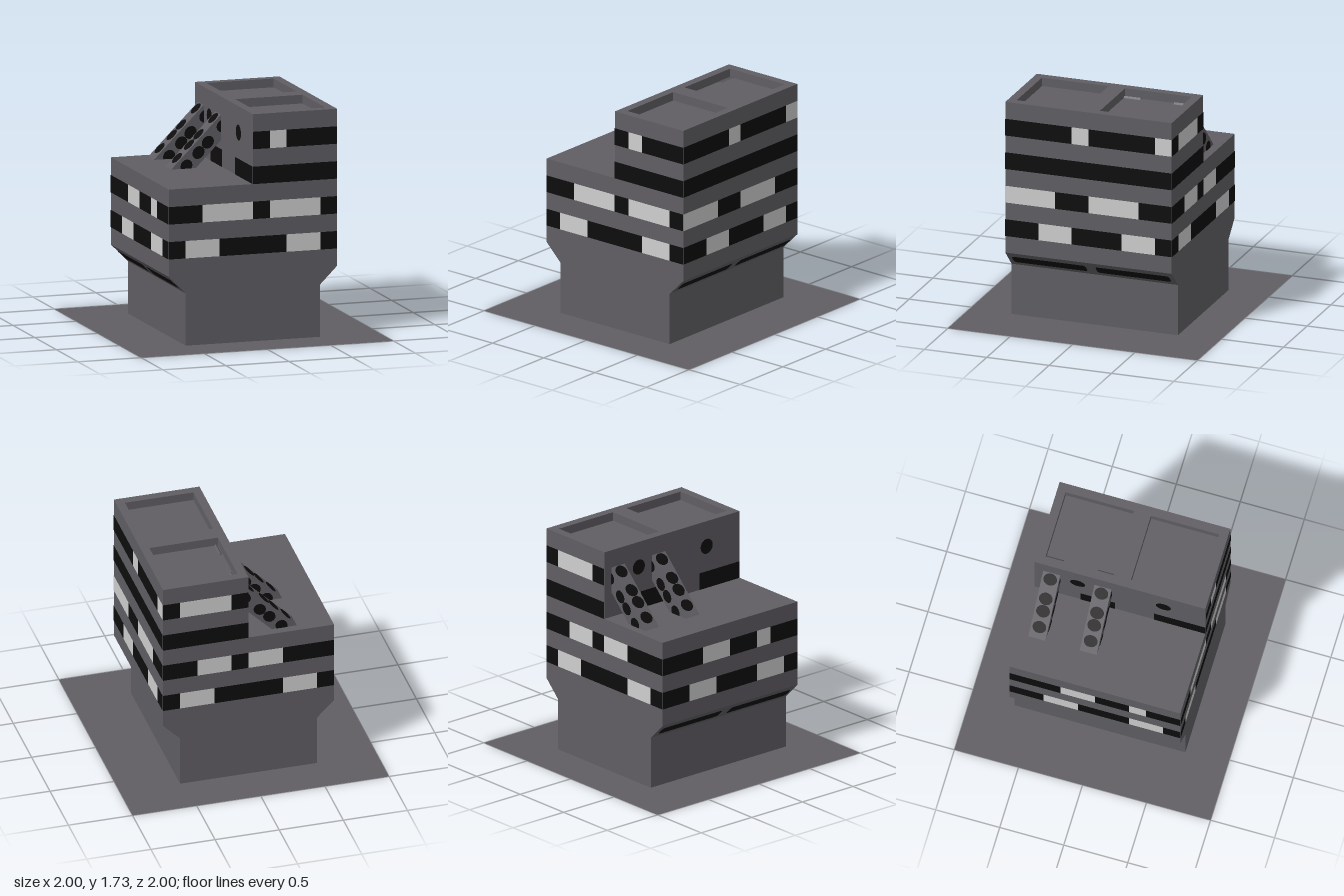
import * as THREE from 'three';

const U = 2 / 15; // facade grid cell
const HALF = 5 * U;
const EPS = 0.003;

const mat = (name, color, side = THREE.FrontSide) => {
  const m = new THREE.MeshStandardMaterial({ color, side });
  m.name = name;
  return m;
};

export function createModel() {
  const root = new THREE.Group();
  root.name = 'building';
  const concrete = mat('grey concrete', 0x605e63, THREE.DoubleSide);
  const dark = mat('dark window', 0x0d0d0d);
  const lit = mat('lit window', 0xcfcfcf);

  const add = (parent, name, geo, material, x = 0, y = 0, z = 0) => {
    const m = new THREE.Mesh(geo, material);
    m.name = name;
    m.position.set(x, y, z);
    parent.add(m);
    return m;
  };
  const polygon = (pts) => new THREE.Shape(pts.map(([x, y]) => new THREE.Vector2(x, y)));
  const extrude = (shape, depth) =>
    new THREE.ExtrudeGeometry(shape, { depth, bevelEnabled: false, curveSegments: 8 });

  // Ground slab
  add(root, 'ground', new THREE.PlaneGeometry(2, 2).rotateX(-Math.PI / 2), concrete);

  // Flared base, main floors and the tower on the left half
  const body = polygon([
    [-4 * U, 0], [4 * U, 0], [4 * U, 3 * U], [HALF, 4 * U], [HALF, 12.5 * U],
    [0, 12.5 * U], [0, 9 * U], [-HALF, 9 * U], [-HALF, 4 * U], [-4 * U, 3 * U],
  ]);
  add(root, 'body', extrude(body, 2 * HALF), concrete, 0, 0, -HALF);

  // Parapet with two sunken roof decks
  const rect = (x0, y0, x1, y1) => [[x0, y0], [x1, y0], [x1, y1], [x0, y1]];
  const rim = polygon(rect(0, -HALF, HALF, HALF));
  for (const y of [-4.5 * U, 0.5 * U]) {
    rim.holes.push(polygon(rect(0.5 * U, y, 4.5 * U, y + 4 * U)));
  }
  add(root, 'parapet', extrude(rim, U / 2).rotateX(-Math.PI / 2), concrete, 0, 12.5 * U, 0);

  // Window bands: one letter per cell, B dark, W lit, - wall; rows from low to high
  const facades = [
    ['front', 0, HALF, ['BWWBBBBWWB', 'BBWWWBWWWB', '-----BBBBB', '-----BWBBB']],
    ['leftSide', 1, HALF, ['BBWWBBBWWB', 'WWWBBWWWBB', 'BBBBBBBBBB', 'BBBBWBBBBW']],
    ['back', 2, HALF, ['BWWBBBBWWB', 'BBWWBWWBBB', 'BBBBB-----', 'BWWWB-----']],
    ['rightSide', 3, HALF, ['BBWWBBBWWB', 'BBBWWBBWBB', '', '']],
    ['towerInner', 3, 0, ['', '', '-------BBB', '']],
  ];
  const faceGroups = {};
  for (const [name, turn, dist, rows] of facades) {
    const face = new THREE.Group();
    face.name = name + 'Windows';
    face.rotation.y = (turn * Math.PI) / 2;
    root.add(face);
    faceGroups[name] = face;
    rows.forEach((row, r) => {
      for (const run of row.matchAll(/B+|W+/g)) {
        const n = run[0].length;
        add(face, run[0][0] === 'B' ? 'darkWindow' : 'litWindow',
          new THREE.PlaneGeometry(n * U, U), run[0][0] === 'B' ? dark : lit,
          (run.index + n / 2 - 5) * U, (5.5 + 2 * r) * U, dist + EPS);
      }
    });
  }

  // Small openings in the tower's inner wall
  const oval = (a, b) => new THREE.CircleGeometry(1, 16).scale(a, b, 1);
  for (const z of [-0.33, 0.34]) {
    add(faceGroups.towerInner, 'roundWindow', oval(0.06, 0.06), dark, z, 11.5 * U, EPS);
  }
  add(faceGroups.towerInner, 'door', new THREE.PlaneGeometry(2 * U, U), dark, -1.3 * U, 9.5 * U, EPS);

  // Rounded slots under the flared overhangs
  const slot = new THREE.Shape();
  const w = 0.295, h = 0.045, c = 0.025;
  slot.moveTo(-w + c, -h).lineTo(w - c, -h).quadraticCurveTo(w, -h, w, -h + c)
    .lineTo(w, h - c).quadraticCurveTo(w, h, w - c, h)
    .lineTo(-w + c, h).quadraticCurveTo(-w, h, -w, h - c)
    .lineTo(-w, -h + c).quadraticCurveTo(-w, -h, -w + c, -h);
  for (const s of [-1, 1]) {
    for (const z of [-0.335, 0.335]) {
      const m = add(root, 'overhangSlot', new THREE.ShapeGeometry(slot), dark,
        s * (4.5 * U + EPS), 3.5 * U - EPS, z);
      m.rotation.order = 'YXZ';
      m.rotation.set(Math.PI / 4, (s * Math.PI) / 2, 0);
    }
  }

  // Diagonal braces with oval openings on every side
  const braceShape = polygon([[-0.395, 1.2], [-0.2, 1.2], [0.1825, 1.5825], [0.085, 1.68]]);
  const ovals = [[-0.39, 0.05], [-0.255, 0.052], [-0.15, 0.052], [0.015, 0.05]];
  for (const z of [-4 * U, -1 * U]) {
    const brace = new THREE.Group();
    brace.name = 'brace';
    root.add(brace);
    add(brace, 'braceBeam', extrude(braceShape, U), concrete, 0, 0, z - U / 2);
    const holes = new THREE.Group();
    holes.name = 'braceOpenings';
    holes.position.set(0, 1.4975, z);
    holes.rotation.z = Math.PI / 4;
    brace.add(holes);
    for (const [s, a] of ovals) {
      for (let k = 0; k < 4; k++) {
        const ring = new THREE.Group();
        ring.rotation.x = (k * Math.PI) / 2;
        holes.add(ring);
        const d = (k % 2 ? 0.069 : U / 2) + EPS;
        add(ring, 'braceOpening', oval(a, k % 2 ? 0.053 : 0.045), dark, s, 0, d);
      }
    }
  }
  return root;
}
